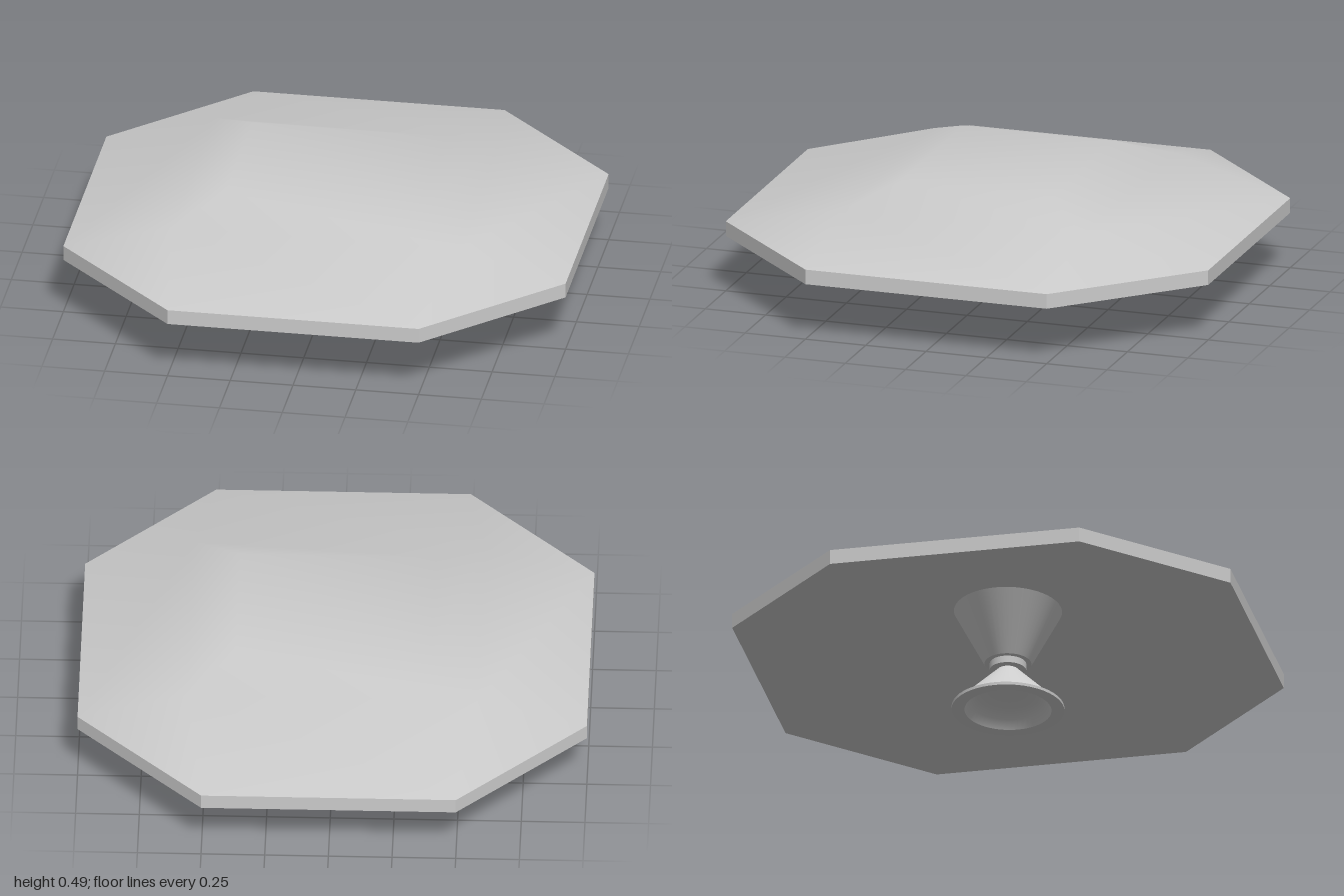
import * as THREE from 'three';

const grey = new THREE.MeshStandardMaterial({ color: 0xcccccc });
const greyDouble = new THREE.MeshStandardMaterial({ color: 0xcccccc, side: THREE.DoubleSide });

// Octagonal rim, then the rectangular shoulder and plateau, as [x, z] loops
const RIM = [[1, -0.5], [1, 0.5], [0.5, 1], [-0.5, 1], [-1, 0.5], [-1, -0.5], [-0.5, -1], [0.5, -1]];
const rectangle = (x, z) => [[x, z], [-x, z], [-x, -z], [x, -z]];
const SHOULDER = rectangle(0.57, 0.5);
const PLATEAU = rectangle(0.385, 0.315);
const RIM_TOP = 0.286, SHOULDER_Y = 0.402, PLATEAU_Y = 0.487, THICKNESS = 0.06;

// One smooth skin of the canopy; the lower skin is the same shape turned over
function canopySkin(drop, flip) {
  const pos = [], index = [];
  const addLoop = (loop, y) => loop.forEach(([x, z]) => pos.push(x, y - drop, z));
  addLoop(RIM, RIM_TOP);             // 0..7
  addLoop(SHOULDER, SHOULDER_Y);     // 8..11
  addLoop(PLATEAU, PLATEAU_Y);       // 12..15
  const tri = (a, b, c) => (flip ? index.push(a, b, c) : index.push(a, c, b));
  const quad = (a, b, c, d) => { tri(a, b, c); tri(a, c, d); };
  for (let i = 0; i < 4; i++) {
    const j = (i + 1) % 4;
    const [r0, r1, r2] = [1, 2, 3].map((k) => (k + 2 * i) % 8);
    tri(r0, r1, 8 + i);                        // corner facet
    quad(r1, r2, 8 + j, 8 + i);                // long slope
    quad(8 + i, 8 + j, 12 + j, 12 + i);        // steep slope
  }
  quad(12, 13, 14, 15);
  const geo = new THREE.BufferGeometry();
  geo.setAttribute('position', new THREE.Float32BufferAttribute(pos, 3));
  geo.setIndex(index);
  geo.computeVertexNormals();
  return geo;
}

// Vertical band closing the edge of the canopy, one flat panel per side
function rimBand() {
  const pos = [];
  const top = RIM_TOP, low = RIM_TOP - THICKNESS;
  RIM.forEach(([x0, z0], i) => {
    const [x1, z1] = RIM[(i + 1) % RIM.length];
    pos.push(x0, low, z0, x0, top, z0, x1, top, z1);
    pos.push(x0, low, z0, x1, top, z1, x1, low, z1);
  });
  const geo = new THREE.BufferGeometry();
  geo.setAttribute('position', new THREE.Float32BufferAttribute(pos, 3));
  geo.computeVertexNormals();
  return geo;
}

export function createModel() {
  const model = new THREE.Group();
  const add = (parent, name, geo, material = grey) => {
    const mesh = new THREE.Mesh(geo, material);
    mesh.name = name;
    parent.add(mesh);
  };

  const canopy = new THREE.Group();
  canopy.name = 'canopy';
  model.add(canopy);
  add(canopy, 'canopyTop', canopySkin(0, false));
  add(canopy, 'canopyUnderside', canopySkin(THICKNESS, true));
  add(canopy, 'canopyRim', rimBand(), greyDouble);

  // Hourglass stem, slightly narrower front to back
  const stem = new THREE.Group();
  stem.name = 'stem';
  stem.scale.z = 0.92;
  model.add(stem);
  const cone = (name, rLow, rHigh, y0, y1, open = false) => {
    const geo = new THREE.CylinderGeometry(rHigh, rLow, y1 - y0, 48, 1, open);
    geo.translate(0, (y0 + y1) / 2, 0);
    add(stem, name, geo, open ? greyDouble : grey);
  };
  cone('upperFunnel', 0.1, 0.23, 0.2, 0.427);
  cone('neckRing', 0.078, 0.078, 0.172, 0.2);
  cone('baseCone', 0.222, 0.045, 0.012, 0.172, true);

  // Base flange with a rounded hollow underneath
  cone('flangeEdge', 0.24, 0.24, 0, 0.012, true);
  for (const [name, inner, y] of [['flangeBottom', 0.185, 0], ['flangeTop', 0.215, 0.012]]) {
    const ring = new THREE.RingGeometry(inner, 0.24, 48);
    ring.rotateX(y ? -Math.PI / 2 : Math.PI / 2);
    ring.translate(0, y, 0);
    add(stem, name, ring);
  }
  const hollow = [[0.185, 0], [0.165, 0.035], [0.13, 0.062], [0.07, 0.082], [0, 0.09]];
  const profile = hollow.map(([r, y]) => new THREE.Vector2(r, y));
  add(stem, 'baseHollow', new THREE.LatheGeometry(profile, 48), greyDouble);

  return model;
}
